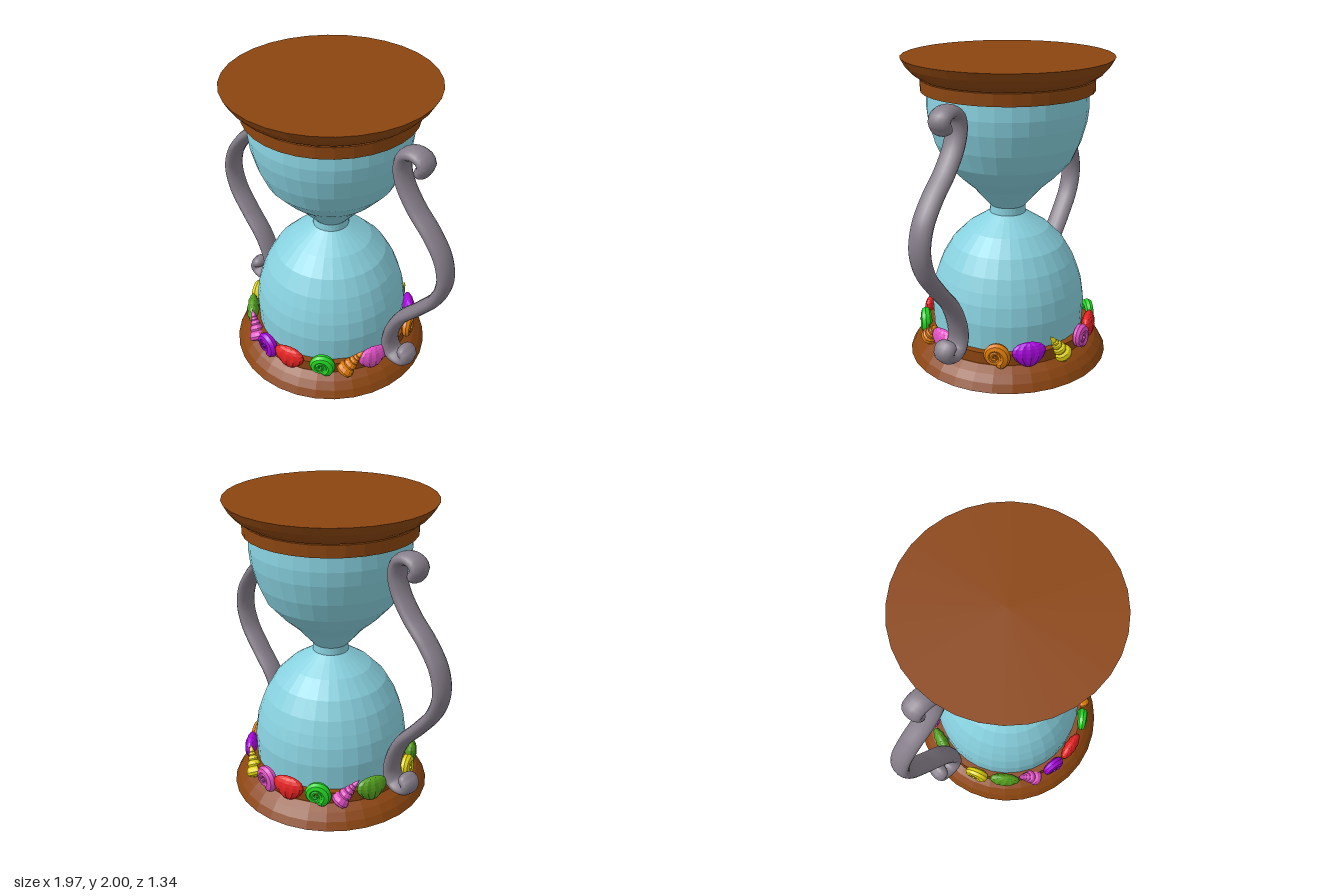
import * as THREE from 'three';

const mat = (name, color, flatShading = true) => {
  const m = new THREE.MeshStandardMaterial({ color, flatShading });
  m.name = name;
  return m;
};

export function createModel() {
  const M = {
    brown: mat('wood brown', 0x8b4510),
    glass: mat('glass blue', 0x87d0de),
    grey: mat('handle grey', 0x857d89, false),
    yellow: mat('yellow', 0xe2d40e),
    green: mat('green', 0x22d622),
    olive: mat('leaf green', 0x55a01e),
    pink: mat('pink', 0xe050c4),
    purple: mat('purple', 0xa806dc),
    red: mat('red', 0xe62222),
    orange: mat('orange', 0xe27e08),
  };
  const model = new THREE.Group();
  model.name = 'hourglass';
  const add = (parent, name, geo, material) => {
    const mesh = new THREE.Mesh(geo, material);
    mesh.name = name;
    parent.add(mesh);
    return mesh;
  };
  const lathe = (pts, n) => new THREE.LatheGeometry(pts.map(p => new THREE.Vector2(...p)), n);

  // Turned wooden ends: moulding, small groove and a band
  const end = [[0, 0], [0.668, 0], [0.64, 0.05], [0.6, 0.095], [0.55, 0.128], [0.535, 0.132],
    [0.55, 0.134], [0.55, 0.21], [0, 0.21]];
  add(model, 'base', lathe(end, 32), M.brown);
  add(model, 'topCap', lathe(end.map(([r, y]) => [r, 2 - y]).reverse(), 32), M.brown);

  // Glass bulbs joined by a narrow neck
  const glass = [[0.505, 0.2], [0.513, 0.38], [0.495, 0.5], [0.47, 0.58], [0.435, 0.67], [0.37, 0.78],
    [0.27, 0.88], [0.17, 0.945], [0.118, 0.98], [0.115, 1.03], [0.165, 1.085], [0.23, 1.16],
    [0.32, 1.24], [0.415, 1.345], [0.47, 1.47], [0.505, 1.6], [0.515, 1.69], [0.508, 1.8]];
  add(model, 'glass', lathe(glass, 32), M.glass);

  // Curled side handles, wider in z than in x
  const path = [[0.715, 1.68], [0.735, 1.72], [0.71, 1.757], [0.645, 1.768], [0.585, 1.735],
    [0.565, 1.66], [0.595, 1.55], [0.69, 1.415], [0.815, 1.29], [0.91, 1.155], [0.942, 1.01],
    [0.9, 0.86], [0.78, 0.7], [0.65, 0.55], [0.578, 0.4], [0.563, 0.29], [0.595, 0.22],
    [0.655, 0.203], [0.71, 0.222], [0.72, 0.265], [0.695, 0.285]];
  const R = 0.043, wide = 1.72;
  for (const s of [1, -1]) {
    const handle = new THREE.Group();
    handle.name = s > 0 ? 'leftHandle' : 'rightHandle';
    const pts = path.map(([x, y]) => new THREE.Vector3(s * x, y, (2 - y) * 0.009));
    const curve = new THREE.CatmullRomCurve3(pts);
    add(handle, 'handleBar', new THREE.TubeGeometry(curve, 96, R, 14).scale(1, 1, wide), M.grey);
    for (const p of [pts[0], pts[pts.length - 1]]) {
      const cap = new THREE.SphereGeometry(R, 14, 10).translate(p.x, p.y, p.z).scale(1, 1, wide);
      add(handle, 'handleTip', cap, M.grey);
    }
    model.add(handle);
  }

  // Scallop: flattened ball narrowing to its hinge, every other meridian sunk as a groove
  const fanGeometry = () => {
    const g = new THREE.SphereGeometry(1, 24, 10), p = g.attributes.position;
    for (let i = 0; i < p.count; i++) {
      const y = p.getY(i), rib = (i % 25) % 2 ? 0.86 : 1;
      p.setXYZ(i, p.getX(i) * 0.106 * (1 + 0.32 * y), y * 0.085, p.getZ(i) * 0.045 * rib);
    }
    return g;
  };

  // Snail shell: tapering tube wound in a rising spiral
  class Spiral extends THREE.Curve {
    getPoint(t, out = new THREE.Vector3()) {
      const a = -0.9 + t * Math.PI * 5, r = 0.058 * (1 - t) + 0.002;
      return out.set(r * Math.cos(a), r * Math.sin(a), 0.042 * t);
    }
  }
  const snailGeometry = () => {
    const n = 60, sides = 8, curve = new Spiral();
    const g = new THREE.TubeGeometry(curve, n, 1, sides), p = g.attributes.position;
    const v = new THREE.Vector3();
    for (let i = 0; i < p.count; i++) {
      const t = Math.floor(i / (sides + 1)) / n, c = curve.getPointAt(t);
      v.fromBufferAttribute(p, i).sub(c).multiplyScalar(0.035 * (1 - t) + 0.008).add(c);
      p.setXYZ(i, v.x, v.y, v.z);
    }
    return g;
  };

  // Pointed shell: stacked whorls shrinking towards the tip
  const coneProfile = [[0, -0.1], [0.035, -0.095]];
  for (let i = 0; i < 5; i++) {
    const y = -0.085 + 0.2 * (1 - Math.pow(0.74, i)) * 1.1, r = 0.062 * Math.pow(0.74, i);
    coneProfile.push([r * 0.86, y], [r, y + r * 0.3], [r * 0.88, y + r * 0.72]);
  }
  coneProfile.push([0, 0.125]);

  const shapes = { fan: fanGeometry(), snail: snailGeometry(), cone: lathe(coneProfile, 12) };
  const distance = { fan: 0.555, snail: 0.555, cone: 0.555 };

  // Ring of shells: kind, colour, angle from the front towards +x, tilt in degrees
  const shells = [
    ['snail', 'purple', -8, 0], ['fan', 'red', 13, 0], ['snail', 'green', 36, 0],
    ['cone', 'orange', 57, -42], ['fan', 'pink', 73, 0], ['snail', 'orange', 113, 0],
    ['fan', 'purple', 135, 0], ['cone', 'yellow', 157, 35], ['snail', 'pink', 178, 0],
    ['fan', 'red', 198, 0], ['snail', 'green', 218, 0], ['cone', 'pink', 238, -42],
    ['fan', 'olive', 256, 0], ['snail', 'yellow', 292, 0], ['fan', 'olive', 314, -15],
    ['cone', 'pink', 333, 42],
  ];
  const ring = new THREE.Group();
  ring.name = 'shellRing';
  for (const [kind, color, deg, tilt] of shells) {
    const shell = new THREE.Group(), a = THREE.MathUtils.degToRad(deg), d = distance[kind];
    shell.name = kind + 'Shell';
    shell.position.set(d * Math.sin(a), 0.208, d * Math.cos(a));
    shell.rotation.set(0, a, THREE.MathUtils.degToRad(tilt));
    add(shell, kind + 'Body', shapes[kind], M[color]);
    if (kind === 'snail') {
      const mouth = add(shell, 'snailMouth', new THREE.SphereGeometry(0.042, 8, 6), M[color]);
      mouth.position.copy(new Spiral().getPoint(0));
    }
    ring.add(shell);
  }
  model.add(ring);
  return model;
}
